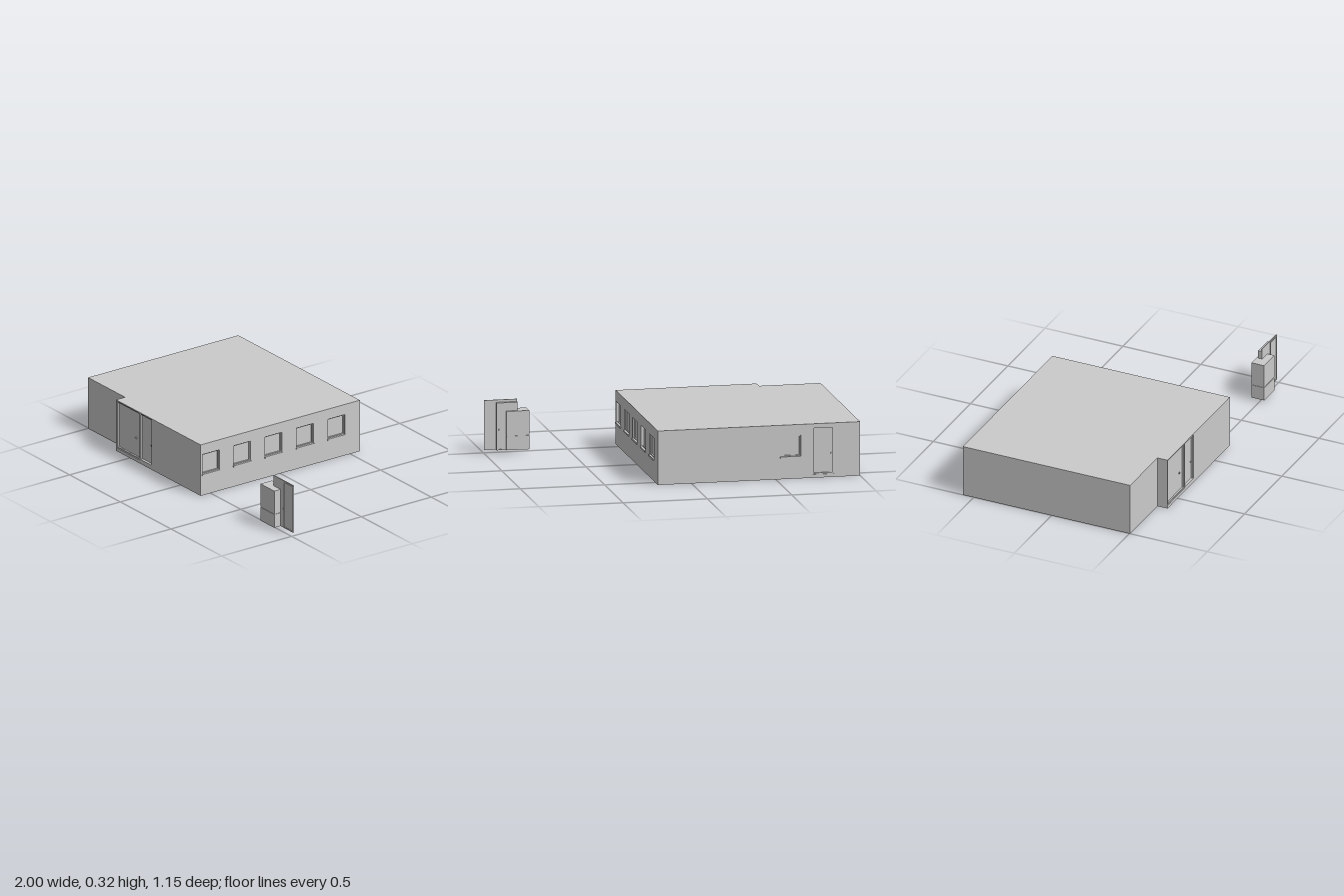
import * as THREE from 'three';

const material = new THREE.MeshStandardMaterial({ color: 0xcccccc, side: THREE.DoubleSide });
const WALL = 0.02, ROOF = 0.004, HEIGHT = 0.32;

// Box given by its two extreme corners
function box(parent, name, x0, x1, y0, y1, z0, z1) {
  const mesh = new THREE.Mesh(new THREE.BoxGeometry(x1 - x0, y1 - y0, z1 - z0), material);
  mesh.position.set((x0 + x1) / 2, (y0 + y1) / 2, (z0 + z1) / 2);
  mesh.name = name;
  parent.add(mesh);
  return mesh;
}

function rectangle(Type, x0, x1, y0, y1) {
  return new Type([[x0, y0], [x1, y0], [x1, y1], [x0, y1]].map(([x, y]) => new THREE.Vector2(x, y)));
}

// Rectangular border, extruded from z0 to z1
function border(parent, name, x0, x1, y0, y1, z0, z1, t) {
  const shape = rectangle(THREE.Shape, x0, x1, y0, y1);
  shape.holes.push(rectangle(THREE.Path, x0 + t, x1 - t, y0 + t, y1 - t));
  const geometry = new THREE.ExtrudeGeometry(shape, { depth: z1 - z0, bevelEnabled: false });
  const mesh = new THREE.Mesh(geometry, material);
  mesh.position.z = z0;
  mesh.name = name;
  parent.add(mesh);
}

// Lever handle with a short spindle, on the face at z
function handle(parent, x, y, z, side = 1) {
  const group = new THREE.Group();
  group.name = 'doorHandle';
  box(group, 'spindle', -0.002, 0.002, -0.004, 0.004, 0, 0.006);
  box(group, 'lever', -0.002, 0.012, 0.001, 0.004, 0.004, 0.007);
  group.position.set(x, y, z);
  group.scale.x = side;
  parent.add(group);
}

// Wall in its own frame: outside face at z = 0, outside towards +z
function wall(parent, name, x0, x1, openings, place) {
  const group = new THREE.Group();
  group.name = name;
  const shape = rectangle(THREE.Shape, x0, x1, 0.004, HEIGHT - ROOF);
  for (const o of openings) shape.holes.push(rectangle(THREE.Path, ...o));
  const geometry = new THREE.ExtrudeGeometry(shape, { depth: WALL, bevelEnabled: false });
  geometry.translate(0, 0, -WALL);
  const mesh = new THREE.Mesh(geometry, material);
  mesh.name = name + 'Panel';
  group.add(mesh);
  place(group);
  parent.add(group);
  return group;
}

// Window with frame, pane and projecting sill
function windowUnit(parent, x0, x1, y0, y1) {
  border(parent, 'windowFrame', x0, x1, y0, y1, -0.019, -0.008, 0.006);
  box(parent, 'windowPane', x0, x1, y0, y1, -0.018, -0.015);
  box(parent, 'windowSill', x0 - 0.002, x1 + 0.002, y0 - 0.009, y0 + 0.001, -0.015, 0.006);
}

// Door leaf set back in a frame
function doorUnit(parent, x0, x1, y0, y1, handleX, side) {
  border(parent, 'doorFrame', x0, x1, y0, y1, -0.02, -0.005, 0.007);
  box(parent, 'doorLeaf', x0, x1, y0, y1, -0.019, -0.015);
  handle(parent, handleX, 0.14, -0.015, side);
}

// Horizontal slab following the stepped plan
function slab(parent, name, y, depth) {
  const plan = [[-1, 0.57], [0.2, 0.57], [0.2, -0.57], [-0.635, -0.57], [-0.635, -0.505], [-1, -0.505]];
  const shape = new THREE.Shape(plan.map(([x, z]) => new THREE.Vector2(x, z)));
  const mesh = new THREE.Mesh(new THREE.ExtrudeGeometry(shape, { depth, bevelEnabled: false }), material);
  mesh.rotation.x = -Math.PI / 2;
  mesh.position.y = y;
  mesh.name = name;
  parent.add(mesh);
}

function buildHouse() {
  const house = new THREE.Group();
  house.name = 'house';
  slab(house, 'floor', 0, 0.004);
  slab(house, 'roof', HEIGHT - ROOF, ROOF);

  // Front wall with a wide double entrance, and the stepped-back part
  const entry = [-0.628, -0.285, 0.02, 0.313];
  const front = wall(house, 'frontWall', -0.635, 0.2 - WALL, [entry], g => g.position.set(0, 0, 0.57));
  doorUnit(front, -0.628, -0.402, 0.02, 0.313, -0.45, -1);
  doorUnit(front, -0.402, -0.285, 0.02, 0.313, -0.3, -1);
  box(front, 'doorMullion', -0.406, -0.398, 0.02, 0.313, -0.02, -0.002);
  box(front, 'doorStep', -0.4, -0.287, 0.02, 0.028, -0.015, 0);
  wall(house, 'setBackWall', -1 + WALL, -0.635 + WALL, [], g => g.position.set(0, 0, 0.505));
  box(house, 'returnWall', -0.635, -0.635 + WALL / 4, 0.004, HEIGHT - ROOF, 0.485, 0.569);

  // Side wall with five windows; local x runs towards -z
  const windows = [-0.558, -0.335, -0.11, 0.115, 0.34].map(x => [x, x + 0.123, 0.132, 0.256]);
  const side = wall(house, 'windowWall', -0.57, 0.57, windows, g => {
    g.position.set(0.2, 0, 0);
    g.rotation.y = Math.PI / 2;
  });
  windows.forEach(w => windowUnit(side, ...w));

  // Blank side wall
  wall(house, 'blankWall', -0.505, 0.57, [], g => {
    g.position.set(-1, 0, 0);
    g.rotation.y = -Math.PI / 2;
    g.scale.x = -1;
  }).scale.set(1, 1, 1);
  house.getObjectByName('blankWall').children[0].position.x = -0.065;

  // Back wall with one window and one door; local x runs towards -x
  const backWindow = [0.527, 0.648, 0.132, 0.256], backDoor = [0.72, 0.845, 0.02, 0.3];
  const back = wall(house, 'backWall', -0.2 + WALL, 1 - WALL, [backWindow, backDoor], g => {
    g.position.set(0, 0, -0.57);
    g.rotation.y = Math.PI;
  });
  windowUnit(back, ...backWindow);
  doorUnit(back, ...backDoor, 0.83, -1);
  return house;
}

// Detached group: a two-door cabinet and two spare door panels
function buildDetachedPieces() {
  const pieces = new THREE.Group();
  pieces.name = 'detachedPieces';
  box(pieces, 'cabinetLower', 0.738, 0.875, 0.02, 0.103, 0.451, 0.533);
  box(pieces, 'cabinetGap', 0.741, 0.872, 0.103, 0.107, 0.454, 0.53);
  box(pieces, 'cabinetUpper', 0.738, 0.875, 0.107, 0.25, 0.451, 0.533);

  // Tall panel with a narrow framed leaf
  box(pieces, 'tallPanel', 0.805, 1, 0.02, 0.315, 0.482, 0.488);
  border(pieces, 'tallPanelFrame', 0.908, 0.997, 0.022, 0.309, 0.485, 0.492, 0.006);
  handle(pieces, 0.908, 0.14, 0.488, 1);

  // Shorter door behind it, with a shallow frame
  box(pieces, 'shortDoor', 0.81, 0.925, 0.022, 0.296, 0.464, 0.469);
  border(pieces, 'shortDoorFrame', 0.805, 0.93, 0.02, 0.3, 0.462, 0.484, 0.005);
  const backHandle = new THREE.Group();
  backHandle.name = 'backHandle';
  handle(backHandle, -0.915, 0.14, 0, 1);
  backHandle.rotation.y = Math.PI;
  backHandle.position.z = 0.464;
  pieces.add(backHandle);
  return pieces;
}

export function createModel() {
  const model = new THREE.Group();
  model.name = 'houseModel';
  model.add(buildHouse(), buildDetachedPieces());
  return model;
}
